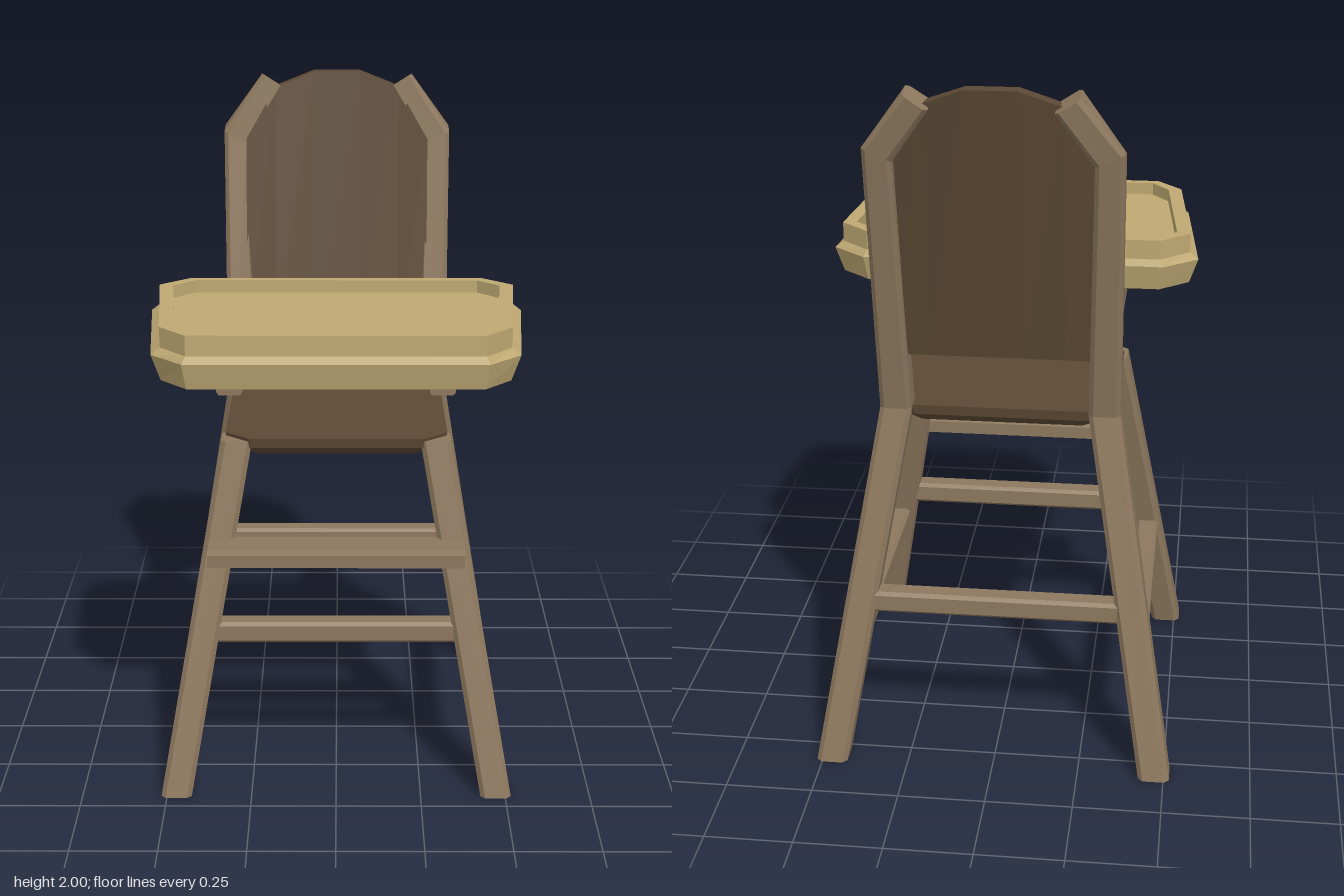
import * as THREE from 'three';

const wood = new THREE.MeshStandardMaterial({ color: 0x8d785e, flatShading: true });
wood.name = 'woodBrown';
const dark = new THREE.MeshStandardMaterial({ color: 0x5c4934, flatShading: true });
dark.name = 'darkBrown';
const tan = new THREE.MeshStandardMaterial({ color: 0xbfa973, flatShading: true });
tan.name = 'trayTan';

// Joins equal-length rings of points into a closed solid, with faces turned outward
function loft(rings) {
  const tris = [];
  const n = rings[0].length;
  for (let r = 0; r + 1 < rings.length; r++) {
    for (let i = 0; i < n; i++) {
      const j = (i + 1) % n, a = rings[r], b = rings[r + 1];
      tris.push([a[i], a[j], b[j]], [a[i], b[j], b[i]]);
    }
  }
  const first = rings[0], last = rings[rings.length - 1];
  for (let i = 1; i + 1 < n; i++) {
    tris.push([first[0], first[i + 1], first[i]], [last[0], last[i], last[i + 1]]);
  }
  let volume = 0;
  const cross = new THREE.Vector3();
  for (const [a, b, c] of tris) volume += a.dot(cross.crossVectors(b, c));
  const points = tris.flatMap(([a, b, c]) => (volume < 0 ? [a, c, b] : [a, b, c]));
  const geometry = new THREE.BufferGeometry().setFromPoints(points);
  geometry.computeVertexNormals();
  return geometry;
}

// Rectangle with cut corners, spanned by half-axes u and v about a centre
function section(center, u, v, cut = 0.3) {
  const c = new THREE.Vector3(...center), U = new THREE.Vector3(...u), V = new THREE.Vector3(...v);
  const k = 1 - cut;
  return [[1, -k], [1, k], [k, 1], [-k, 1], [-1, k], [-1, -k], [-k, -1], [k, -1]]
    .map(([a, b]) => c.clone().addScaledVector(U, a).addScaledVector(V, b));
}

export function createModel() {
  const model = new THREE.Group();
  model.name = 'highChair';
  const add = (name, rings, material) => {
    const mesh = new THREE.Mesh(loft(rings), material);
    mesh.name = name;
    model.add(mesh);
  };

  for (const s of [1, -1]) {
    const side = s > 0 ? 'left' : 'right';
    const level = (x, y, z, d) => section([s * x, y, z], [s * 0.045, 0, 0], [0, 0, d]);

    // Splayed front leg
    add(side + 'FrontLeg', [level(0.472, 0, 0.407, 0.048), level(0.29, 1.03, 0.165, 0.048)], wood);

    // Rear leg that bends into the back post and turns in at the top
    add(side + 'RearLegAndPost', [
      level(0.472, 0, -0.553, 0.048),
      level(0.297, 1.04, -0.33, 0.042),
      section([s * 0.308, 1.81, -0.473], [s * 0.04, 0.018, 0], [0, -0.007, 0.042]),
      section([s * 0.198, 1.97, -0.502], [s * 0.033, 0.021, 0], [0, 0.006, 0.043]),
    ], wood);

    // Armrest with a lifted front end
    const arm = (z, low, high) =>
      section([s * 0.293, (low + high) / 2, z], [0.036, 0, 0], [0, (high - low) / 2, 0], 0.2);
    add(side + 'Armrest', [arm(-0.36, 1.232, 1.345), arm(0.37, 1.232, 1.345), arm(0.455, 1.248, 1.345)], wood);

    // Side stretcher between front and rear legs
    const rail = (z) => section([s * 0.405, 0.383, z], [0.034, 0, 0], [0, 0.033, 0]);
    add(side + 'Stretcher', [rail(-0.46), rail(0.31)], wood);
  }

  // Cross bars and footrest
  const crossBar = (name, half, y, z, h, d) => add(name,
    [-1, 1].map((s) => section([s * half, y, z], [0, 0, d], [0, h, 0])), wood);
  crossBar('frontStretcher', 0.385, 0.475, 0.295, 0.032, 0.034);
  crossBar('rearStretcher', 0.385, 0.475, -0.452, 0.032, 0.034);
  crossBar('footrest', 0.37, 0.725, 0.31, 0.027, 0.075);

  // Seat board with cut corners and a bevelled underside
  const seatRing = (y, inset) =>
    section([0, y, -0.062], [0.325 - inset, 0, 0], [0, 0, 0.277 - inset], 0.22);
  add('seat', [seatRing(0.985, 0.03), seatRing(1.01, 0.005), seatRing(1.04, 0)], dark);

  // Tilted back panel with an arched top, curving more towards the top
  const arch = [[0.28, 1.8], [0.19, 1.955], [0.07, 2]];
  const columns = [...arch.map(([x, y]) => [-x, y]), ...arch.slice().reverse()];
  add('backPanel', columns.map(([x, top]) => {
    const front = (y) => -0.33 - (y - 1.21) * (0.195 - 0.5 * x * x);
    return [[top, 0], [top, -0.05], [1.21, -0.05], [1.21, 0]]
      .map(([y, dz]) => new THREE.Vector3(x, y, front(y) + dz));
  }), dark);

  // Tray: outer wall, raised rim and sunken floor
  const trayRing = (y, ix, iz) => {
    const half = [
      [0.41 - 0.41 * ix, 0.603 - iz], [0.5 - ix, 0.51 - 0.41 * iz],
      [0.54 - ix, 0.04 + 0.41 * iz], [0.44 - 0.41 * ix, -0.045 + iz],
    ];
    return [...half, ...half.slice().reverse().map(([x, z]) => [-x, z])]
      .map(([x, z]) => new THREE.Vector3(x, y, z));
  };
  add('tray', [
    trayRing(1.307, 0.025, 0.016), trayRing(1.38, 0, 0), trayRing(1.4, 0.025, 0.01),
    trayRing(1.457, 0.025, 0.01), trayRing(1.457, 0.065, 0.037), trayRing(1.42, 0.065, 0.037),
  ], tan);

  return model;
}
